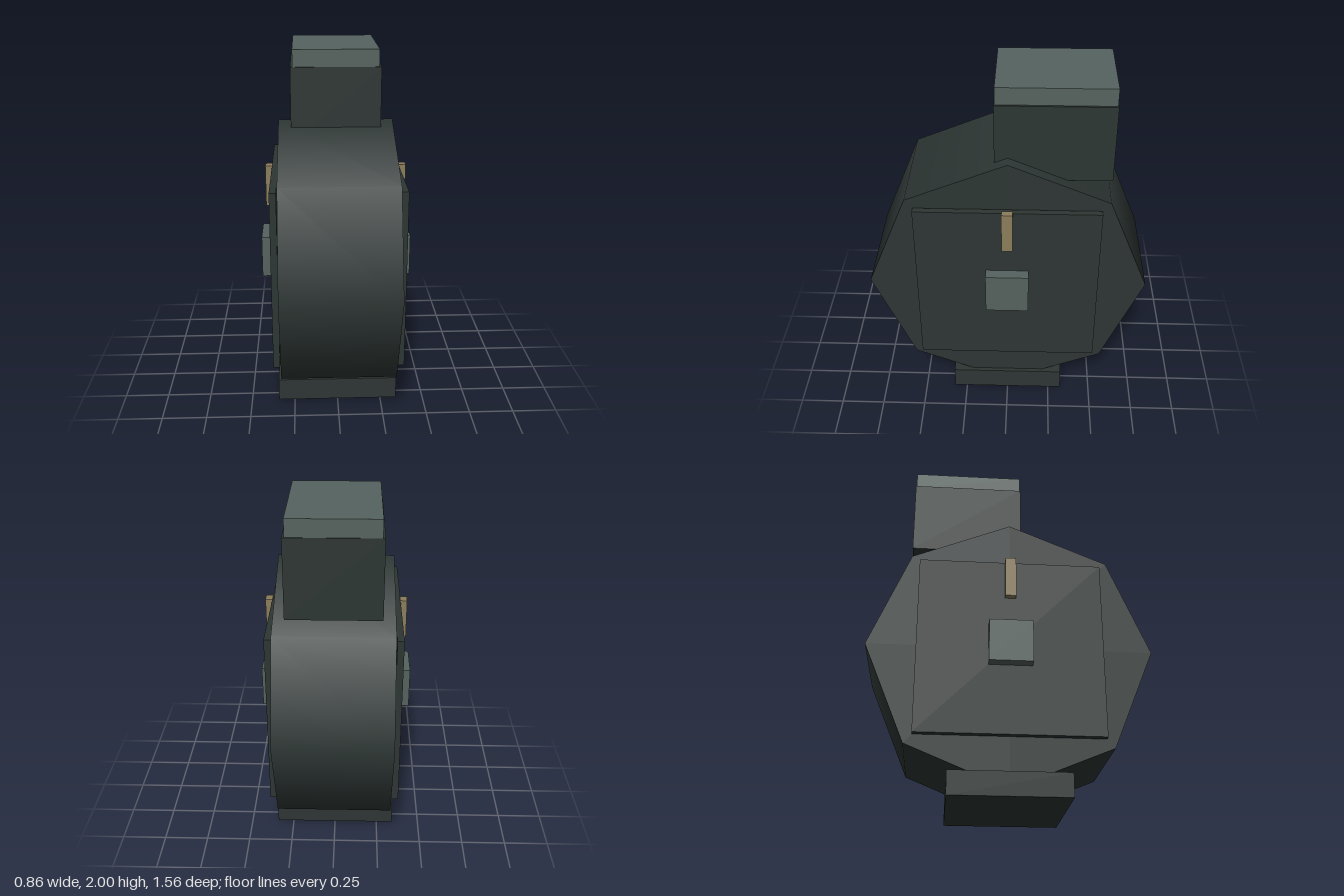
import * as THREE from 'three';

export function createModel() {
  const model = new THREE.Group();
  model.name = 'octagonalDevice';

  const material = (name, color) => {
    const m = new THREE.MeshStandardMaterial({ color });
    m.name = name;
    return m;
  };
  const dark = material('darkCasing', 0x2d3634);
  const steel = material('greySteel', 0x56635f);
  const brass = material('dullBrass', 0x8c7e5c);

  const add = (name, geometry, mat) => {
    const mesh = new THREE.Mesh(geometry, mat);
    mesh.name = name;
    model.add(mesh);
    return mesh;
  };

  // Box given by its minimum and maximum on each axis
  const box = (name, [x0, x1], [y0, y1], [z0, z1], mat) =>
    add(name, new THREE.BoxGeometry(x1 - x0, y1 - y0, z1 - z0), mat)
      .position.set((x0 + x1) / 2, (y0 + y1) / 2, (z0 + z1) / 2);

  // Eight-sided drum lying across x, with a corner at the top
  add('drum', new THREE.CylinderGeometry(0.78, 0.78, 0.64, 8).rotateZ(Math.PI / 2), dark)
    .position.y = 0.822;

  // Foot, neck and cap
  box('foot', [-0.343, 0.343], [0, 0.13], [-0.324, 0.324], dark);
  box('neck', [-0.25, 0.25], [1.47, 1.905], [-0.556, 0.072], dark);
  box('cap', [-0.238, 0.238], [1.9, 2], [-0.552, 0.068], steel);

  // Side plates, hubs and marker tabs, mirrored
  for (const [side, s] of [['left', 1], ['right', -1]]) {
    const span = (a, b) => (s > 0 ? [a, b] : [-b, -a]);
    box(side + 'Plate', span(0.327, 0.364), [0.317, 1.329], [-0.507, 0.507], dark);
    box(side + 'Hub', span(0.355, 0.428), [0.703, 0.942], [-0.119, 0.119], steel);
    box(side + 'Tab', span(0.36, 0.4), [1.105, 1.341], [-0.03, 0.03], brass);
  }

  return model;
}
